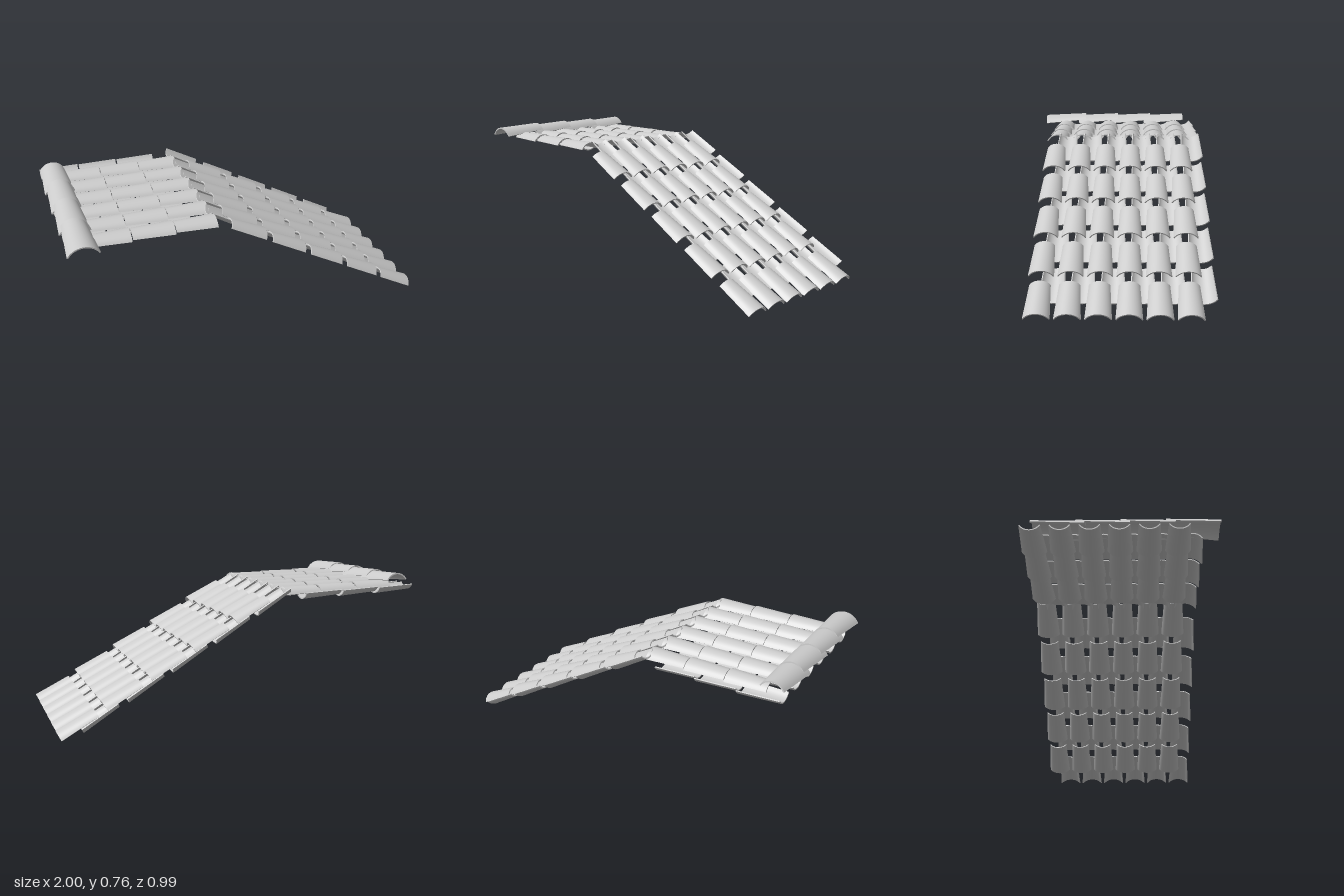
import * as THREE from 'three';

const ARC = Math.PI / 3; // half of the arc each tile spans
const rad = THREE.MathUtils.degToRad;

// Tapered barrel tile: wide end at the origin, body running along -z, arched upwards.
function tileGeometry(wideHalf, narrowHalf, length, thickness) {
  const geo = new THREE.BoxGeometry(1, 1, 1, 14, 1, 1);
  const p = geo.attributes.position;
  for (let i = 0; i < p.count; i++) {
    const along = 0.5 - p.getZ(i);
    const outer = THREE.MathUtils.lerp(wideHalf, narrowHalf, along) / Math.sin(ARC);
    const r = outer - (0.5 - p.getY(i)) * thickness;
    const a = p.getX(i) * 2 * ARC;
    p.setXYZ(i, r * Math.sin(a), r * Math.cos(a) - outer * Math.cos(ARC), -along * length);
  }
  geo.computeVertexNormals();
  return geo;
}

export function createModel() {
  const root = new THREE.Group();
  root.name = 'tiledRoof';
  const material = new THREE.MeshStandardMaterial({ color: 0xcccccc });

  const coverGeo = tileGeometry(0.065, 0.0525, 0.217, 0.006);
  const panGeo = coverGeo.clone().rotateZ(Math.PI);
  const capGeo = tileGeometry(0.081, 0.063, 0.266, 0.007);

  // A field of tiles: rows climb from the low end, columns repeat along z.
  function addField(name, geo, { rows, start, step, tilt, firstZ }) {
    const field = new THREE.Group();
    field.name = name;
    for (let row = 0; row < rows; row++) {
      for (let col = 0; col < 6; col++) {
        const tile = new THREE.Mesh(geo, material);
        tile.name = name + 'Tile';
        tile.rotation.set(0, Math.PI / 2, -rad(tilt), 'ZYX');
        tile.position.set(start[0] - row * step[0], start[1] + row * step[1], firstZ - col * 0.145);
        field.add(tile);
      }
    }
    root.add(field);
  }

  const coverZ = 0.36, panZ = 0.295;

  // Steep slope
  const steep = [0.2335, 0.1325];
  addField('steepCover', coverGeo, { rows: 5, start: [0.98, 0.003], step: steep, tilt: 28, firstZ: coverZ });
  addField('steepPan', panGeo, { rows: 5, start: [0.89, 0.07], step: steep, tilt: 30, firstZ: panZ });

  // Nearly level upper slope
  const level = [0.2235, 0.005];
  addField('upperCover', coverGeo, { rows: 3, start: [-0.222, 0.667], step: level, tilt: 2, firstZ: coverZ });
  addField('upperPan', panGeo, { rows: 3, start: [-0.32, 0.681], step: level, tilt: 2, firstZ: panZ });

  // Overlapping ridge caps
  const ridge = new THREE.Group();
  ridge.name = 'ridge';
  for (let i = 0; i < 4; i++) {
    const cap = new THREE.Mesh(capGeo, material);
    cap.name = 'ridgeCap';
    cap.rotation.x = rad(5);
    cap.position.set(-0.919, 0.699, 0.493 - i * 0.2195);
    ridge.add(cap);
  }
  root.add(ridge);

  return root;
}
